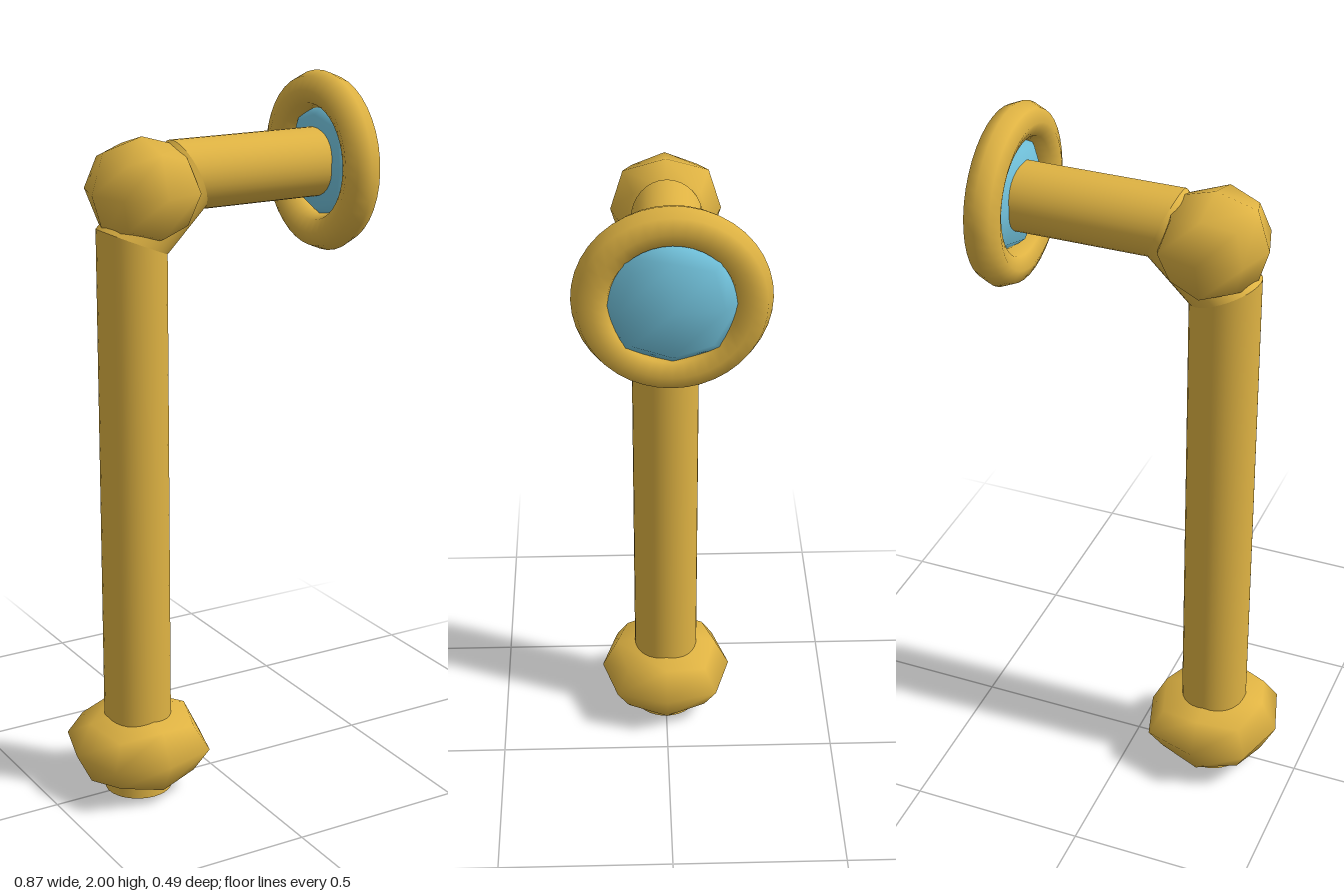
import * as THREE from 'three';
import { mergeVertices } from 'three/addons/utils/BufferGeometryUtils.js';

const PIPE_X = -0.24, ARM_Y = 1.755, PIPE_R = 0.095, SIDES = 32;

// Low-poly rounded cube: two divisions per edge, edges and corners pulled in
function roundedBlob(rx, ry, rz) {
  const box = new THREE.BoxGeometry(2, 2, 2, 2, 2, 2);
  box.deleteAttribute('uv');
  box.deleteAttribute('normal');
  const geo = mergeVertices(box);
  const pos = geo.attributes.position;
  const pull = [0, 1, 0.77, 0.6];
  for (let i = 0; i < pos.count; i++) {
    const p = new THREE.Vector3().fromBufferAttribute(pos, i);
    const k = pull[Math.round(Math.abs(p.x) + Math.abs(p.y) + Math.abs(p.z))];
    pos.setXYZ(i, p.x * rx * k, p.y * ry * k, p.z * rz * k);
  }
  geo.computeVertexNormals();
  return geo;
}

// Tube wall between two mitred rings; sx, sy is the ring's offset toward the inside of the bend
function mitredTube(a, b) {
  const points = [], index = [];
  for (const [x, y, sx, sy] of [a, b]) {
    for (let i = 0; i < SIDES; i++) {
      const t = (i / SIDES) * Math.PI * 2, c = Math.cos(t) * PIPE_R;
      points.push(x + c * sx, y + c * sy, Math.sin(t) * PIPE_R);
    }
  }
  for (let i = 0; i < SIDES; i++) {
    const j = (i + 1) % SIDES;
    index.push(i, i + SIDES, j, j, i + SIDES, j + SIDES);
  }
  const geo = new THREE.BufferGeometry();
  geo.setAttribute('position', new THREE.Float32BufferAttribute(points, 3));
  geo.setIndex(index);
  geo.computeVertexNormals();
  return geo;
}

export function createModel() {
  const brass = new THREE.MeshStandardMaterial({ color: 0xdfb343 });
  brass.name = 'brass';
  const glass = new THREE.MeshStandardMaterial({ color: 0x74c6e0 });
  glass.name = 'blueGlass';

  const model = new THREE.Group();
  model.name = 'pipePeriscope';
  const add = (name, geo, mat, x = 0, y = 0, z = 0, parent = model) => {
    const mesh = new THREE.Mesh(geo, mat);
    mesh.name = name;
    mesh.position.set(x, y, z);
    parent.add(mesh);
    return mesh;
  };

  // Pipe: upright, chamfered elbow and horizontal arm
  const m = Math.tan(Math.PI / 8);
  const rings = [
    [PIPE_X, 0, 1, 0],
    [PIPE_X, 1.592, 1, -m],
    [-0.077, ARM_Y, m, -1],
    [0.36, ARM_Y, 0, -1],
  ];
  const pipe = new THREE.Group();
  pipe.name = 'pipe';
  model.add(pipe);
  ['uprightPipe', 'elbowPipe', 'armPipe'].forEach((name, i) =>
    add(name, mitredTube(rings[i], rings[i + 1]), brass, 0, 0, 0, pipe));
  const disc = new THREE.CircleGeometry(PIPE_R, SIDES);
  add('pipeBottom', disc, brass, PIPE_X, 0, 0, pipe).rotation.x = Math.PI / 2;

  // Base collar and elbow joint
  add('baseCollar', roundedBlob(0.195, 0.115, 0.196), brass, PIPE_X, 0.135, 0);
  add('elbowJoint', roundedBlob(0.148, 0.143, 0.148), brass, -0.207, 1.724, 0);

  // Viewing head: ring and domed lens
  const ring = new THREE.TorusGeometry(0.196, 0.051, 8, 40);
  add('lensRing', ring, brass, 0.352, ARM_Y, 0).rotation.y = Math.PI / 2;
  add('lens', roundedBlob(0.06, 0.166, 0.166), glass, 0.373, ARM_Y, 0);

  return model;
}
